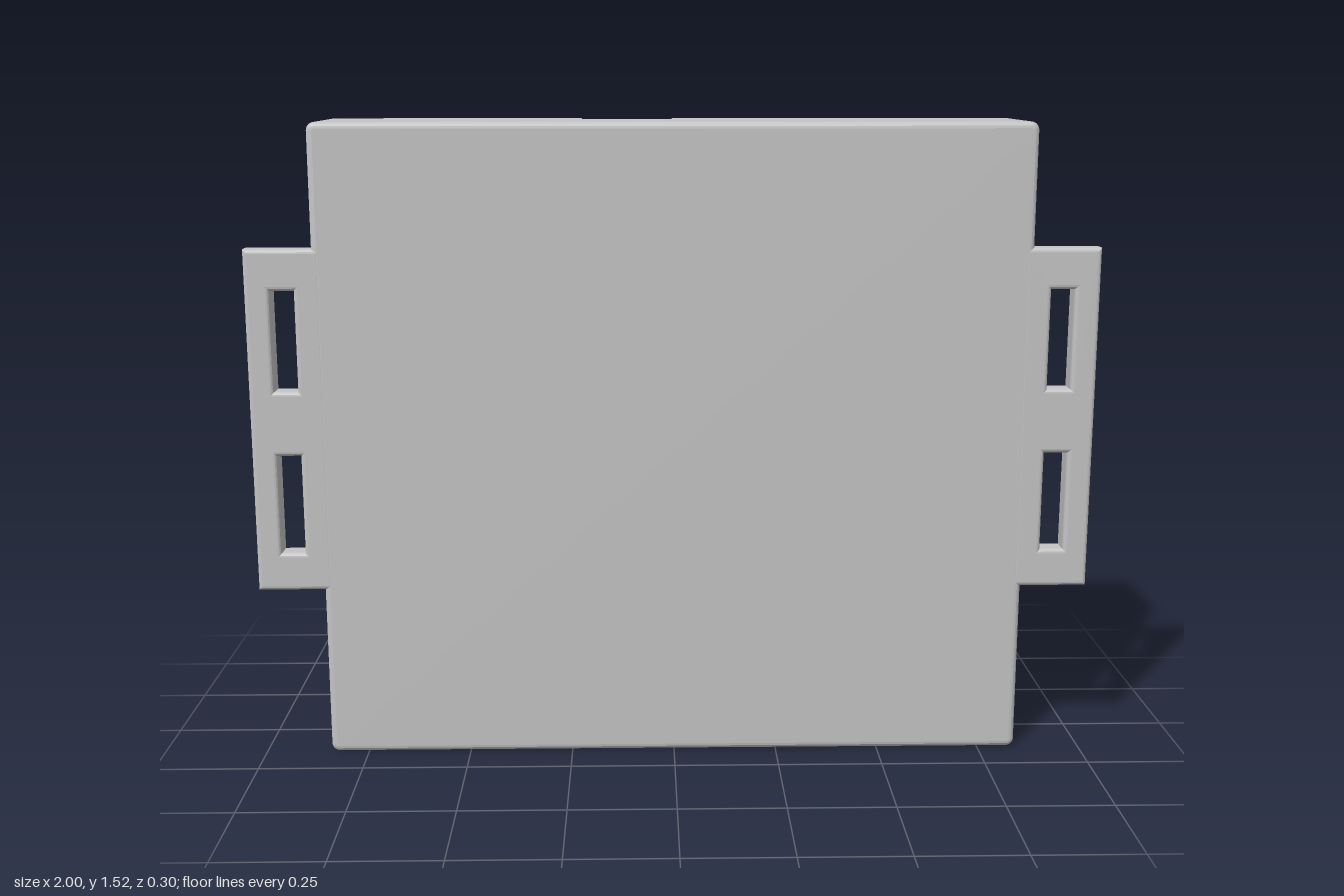
import * as THREE from 'three';
import { toCreasedNormals } from 'three/addons/utils/BufferGeometryUtils.js';

const W = 0.842, H = 1.525, D = 0.15; // half width, height, half depth
const T = 0.045;                      // wall thickness
const FLOOR = 0.09;                   // inner face of the front plate
const R = 0.015;                      // edge rounding
const X = new THREE.Vector3(1, 0, 0);
const Y = new THREE.Vector3(0, 1, 0);
const Z = new THREE.Vector3(0, 0, 1);

const polygon = (pts) => new THREE.Shape(pts.map(([a, b]) => new THREE.Vector2(a, b)));

const rectangle = (x0, y0, x1, y1) => polygon([[x0, y0], [x1, y0], [x1, y1], [x0, y1]]);

function roundedRectangle(x0, y0, x1, y1, r) {
  const s = new THREE.Shape();
  s.absarc(x1 - r, y1 - r, r, 0, Math.PI / 2);
  s.absarc(x0 + r, y1 - r, r, Math.PI / 2, Math.PI);
  s.absarc(x0 + r, y0 + r, r, Math.PI, Math.PI * 1.5);
  s.absarc(x1 - r, y0 + r, r, Math.PI * 1.5, Math.PI * 2);
  s.closePath();
  return s;
}

function circleHole(x, y, r) {
  return new THREE.Path().absarc(x, y, r, 0, Math.PI * 2, true);
}

// Extrude a shape; bevel rounds the rims inward so the outline keeps its size.
// The small crease angle on bevelled parts keeps their large faces flat.
function extrude(shape, depth, bevel = 0) {
  const g = new THREE.ExtrudeGeometry(shape, {
    depth: depth - 2 * bevel, bevelEnabled: bevel > 0, bevelThickness: bevel,
    bevelSize: bevel, bevelOffset: -bevel, bevelSegments: 4, curveSegments: 16,
  });
  g.translate(0, 0, bevel);
  return toCreasedNormals(g, bevel > 0 ? 0.12 : 0.6);
}

// Shapes drawn in (y, z) grow along +x; shapes drawn in (x, z) grow along -y
const alongX = (g) => g.applyMatrix4(new THREE.Matrix4().makeBasis(Y, Z, X));
const downY = (g) => g.applyMatrix4(new THREE.Matrix4().makeBasis(X, Z, Y.clone().negate()));

export function createModel() {
  const model = new THREE.Group();
  const grey = new THREE.MeshStandardMaterial({ color: 0xc4c4c4 });
  grey.name = 'light grey plastic';

  const add = (name, geometry, x = 0, y = 0, z = 0) => {
    const mesh = new THREE.Mesh(geometry, grey);
    mesh.name = name;
    mesh.position.set(x, y, z);
    model.add(mesh);
    return mesh;
  };

  // Front plate with rounded rim
  add('frontPlate', extrude(roundedRectangle(-W, 0, W, H, 0.02), D - FLOOR, R), 0, 0, FLOOR);

  // Wall panel outline, with an optional notch in its back edge
  const wallEnd = D - R;
  const panel = (a, b, notch) => {
    const pts = [[a, wallEnd], [a, -D]];
    if (notch) pts.push([notch[0], -D], [notch[0], notch[2]], [notch[1], notch[2]], [notch[1], -D]);
    pts.push([b, -D], [b, wallEnd]);
    return polygon(pts);
  };
  const topNotch = [-0.22, 0, -0.06];
  const sideNotch = [0.525, 1.315, -0.067];

  add('topWall', downY(extrude(panel(-W + T, W - T, topNotch), T)), 0, H);
  add('leftWall', alongX(extrude(panel(T, H - T, sideNotch), T)), W - T);
  add('rightWall', alongX(extrude(panel(T, H - T), T)), -W);

  const bottom = panel(-W + T, W - T);
  bottom.holes.push(circleHole(-0.615, -0.025, 0.087));
  add('bottomWall', downY(extrude(bottom, T)), 0, T);

  // Sloped sills of the two notches
  add('topNotchSill', alongX(extrude(
    polygon([[H, -0.06], [H - T, -0.06], [H - T, -0.075]]), 0.22)), -0.22);
  add('leftNotchSill', downY(extrude(
    polygon([[W, -0.067], [W - T, -0.067], [W - T, -0.087]]), 0.79)), 0, 1.315);

  // Corner columns with screw holes
  const corner = new THREE.Shape();
  corner.moveTo(-T, -T);
  corner.lineTo(0, -T);
  corner.absarc(-0.02, -0.02, 0.02, 0, Math.PI / 2);
  corner.lineTo(-T, 0);
  corner.closePath();
  corner.holes.push(circleHole(-0.021, -0.021, 0.012));
  const cornerGeometry = extrude(corner, wallEnd + D);
  [[W, H], [-W, H], [-W, 0], [W, 0]].forEach(([x, y], i) => {
    add('cornerColumn', cornerGeometry, x, y, -D).rotation.z = i * Math.PI / 2;
  });

  // Strap ears, each with two slots that narrow towards mid depth
  for (const side of [-1, 1]) {
    const ends = [side * 0.82, side].sort((a, b) => a - b);
    const ear = rectangle(ends[0], 0.415, ends[1], 1.235);
    for (const y of [0.507, 0.9]) {
      const slot = [side * 0.885, side * 0.94].sort((a, b) => a - b);
      ear.holes.push(rectangle(slot[0], y, slot[1], y + 0.238));
    }
    add(side > 0 ? 'leftEar' : 'rightEar', extrude(ear, D - FLOOR, 0.01), 0, 0, FLOOR);
  }

  // Hollow standoffs for the circuit board
  const ring = new THREE.Shape().absarc(0, 0, 0.026, 0, Math.PI * 2);
  ring.holes.push(circleHole(0, 0, 0.014));
  const standoff = extrude(ring, 0.15);
  for (const x of [-0.38, 0.7]) {
    for (const y of [0.525, 1.295]) add('standoff', standoff, x, y, -0.05);
  }

  // Locating ribs on the inside of the front plate
  const rib = (x0, y0, x1, y1) => add('rib',
    new THREE.BoxGeometry(x1 - x0, y1 - y0, 0.04), (x0 + x1) / 2, (y0 + y1) / 2, 0.08);
  rib(-0.365, 0.57, -0.333, 1.245);
  rib(-0.325, 0.51, 0.64, 0.54);
  rib(-0.81, 1.29, -0.41, 1.32);

  return model;
}
